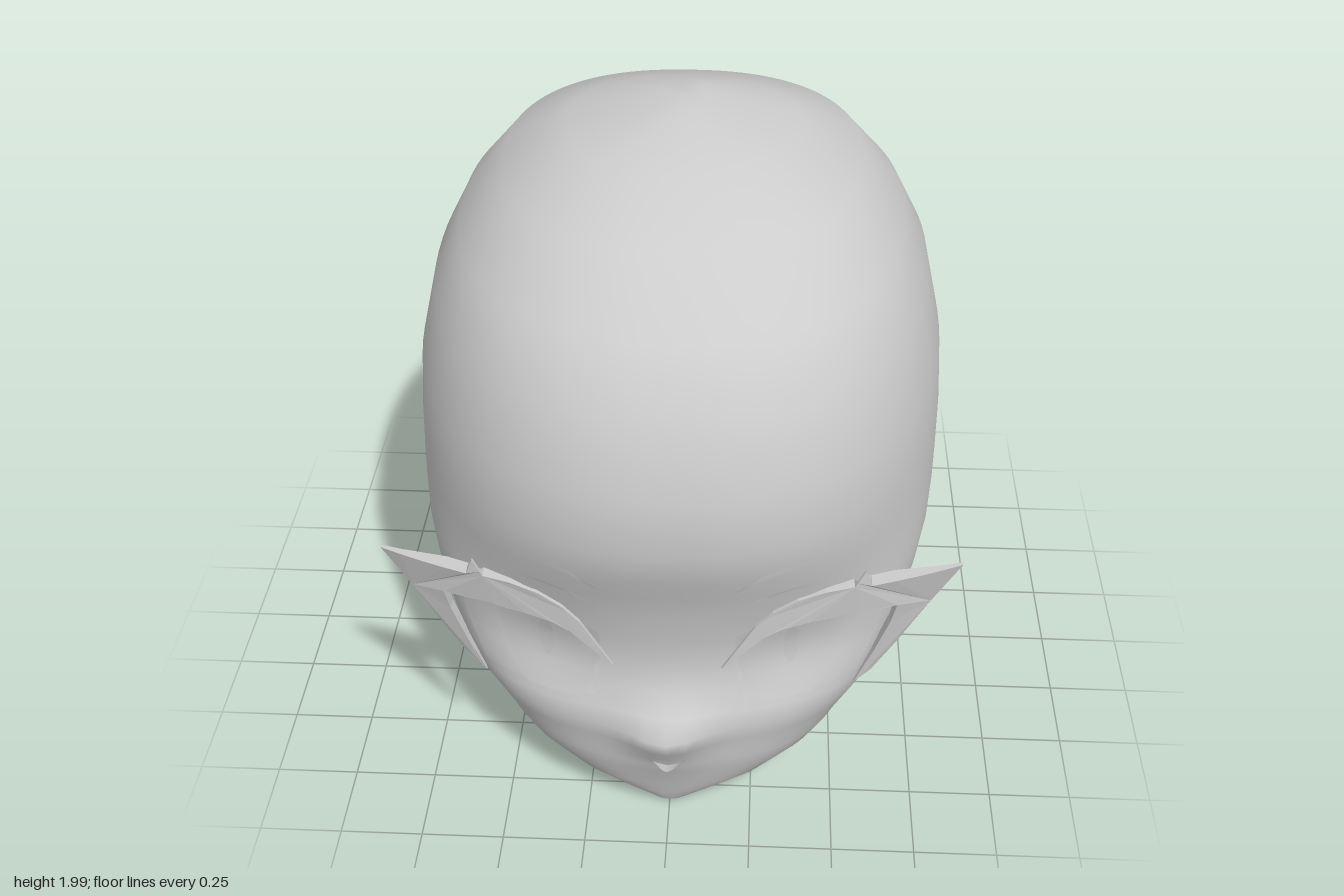
import * as THREE from 'three';

const skin = new THREE.MeshStandardMaterial({ color: 0xcccccc, side: THREE.DoubleSide });
skin.name = 'plain grey';

// Head levels: y, half width, front z, back z, z of the widest point, nose bump
const LEVELS = [
  [0.005, 0.02, 0.82, 0.70, 0.79, 0],
  [0.02, 0.07, 0.835, 0.56, 0.75, 0],
  [0.07, 0.21, 0.855, 0.27, 0.67, 0],
  [0.12, 0.34, 0.87, 0.0, 0.61, 0],
  [0.20, 0.48, 0.89, -0.22, 0.50, 0.01],
  [0.25, 0.53, 0.90, -0.34, 0.46, 0.025],
  [0.28, 0.55, 0.90, -0.40, 0.45, 0.03],
  [0.34, 0.59, 0.91, -0.48, 0.44, 0.065],
  [0.40, 0.63, 0.92, -0.56, 0.43, 0.078],
  [0.45, 0.655, 0.905, -0.62, 0.43, 0.035],
  [0.52, 0.685, 0.885, -0.72, 0.42, 0.01],
  [0.60, 0.715, 0.875, -0.78, 0.38, 0],
  [0.70, 0.75, 0.885, -0.85, 0.30, 0],
  [0.80, 0.78, 0.905, -0.905, 0.20, 0],
  [0.90, 0.795, 0.93, -0.945, 0.10, 0],
  [0.98, 0.80, 0.965, -0.965, 0.04, 0],
  [1.10, 0.805, 0.995, -0.995, -0.04, 0],
  [1.28, 0.795, 0.99, -0.99, -0.06, 0],
  [1.50, 0.745, 0.92, -0.925, -0.06, 0],
  [1.66, 0.665, 0.80, -0.82, -0.06, 0],
  [1.82, 0.535, 0.59, -0.64, -0.06, 0],
  [1.93, 0.34, 0.36, -0.34, -0.06, 0],
  [1.98, 0.07, 0.06, -0.20, -0.07, 0],
];
const POWER = 2.3;

// Raised nose and shallow eye sockets
function relief(x, y, bump) {
  const socket = Math.exp(-(((Math.abs(x) - 0.38) / 0.18) ** 2) - ((y - 0.66) / 0.13) ** 2);
  return bump * Math.exp(-((x / 0.12) ** 2)) - 0.03 * socket;
}

// Depth of the face surface at a point of the front
function faceZ(x, y) {
  let i = 0;
  while (i < LEVELS.length - 2 && LEVELS[i + 1][0] < y) i++;
  const a = LEVELS[i], b = LEVELS[i + 1], t = (y - a[0]) / (b[0] - a[0]);
  const [, w, f, , c, bump] = a.map((v, k) => v + (b[k] - v) * t);
  const s = Math.min(1, Math.abs(x) / w);
  return c + (f - c) * Math.pow(1 - s ** POWER, 1 / POWER) + relief(x, y, bump);
}

// Skull and face: rounded loops stacked upwards, closed at both ends
function headGeometry() {
  const N = 96, pos = [], index = [], e = 2 / POWER;
  for (const [y, w, f, b, c, bump] of LEVELS) {
    for (let i = 0; i < N; i++) {
      const a = (i / N) * Math.PI * 2, s = Math.sin(a), k = Math.cos(a);
      const x = w * Math.sign(s) * Math.abs(s) ** e;
      const reach = k > 0 ? f - c : b - c;
      pos.push(x, y, c + reach * Math.abs(k) ** e + (k > 0 ? relief(x, y, bump) : 0));
    }
  }
  const rows = LEVELS.length;
  for (let j = 0; j < rows - 1; j++) {
    for (let i = 0; i < N; i++) {
      const a = j * N + i, b = j * N + ((i + 1) % N);
      index.push(a, b, b + N, a, b + N, a + N);
    }
  }
  const bottom = pos.length / 3;
  pos.push(0, 0, 0.80, 0, 1.987, -0.05);
  for (let i = 0; i < N; i++) {
    const n = (i + 1) % N, top = (rows - 1) * N;
    index.push(bottom, n, i, bottom + 1, top + i, top + n);
  }
  const g = new THREE.BufferGeometry();
  g.setAttribute('position', new THREE.Float32BufferAttribute(pos, 3));
  g.setIndex(index);
  g.computeVertexNormals();
  return g;
}

function along(line, t) {
  const f = t * (line.length - 1), i = Math.min(line.length - 2, Math.floor(f)), k = f - i;
  return line[i].map((v, n) => v + (line[i + 1][n] - v) * k);
}

// Thin patch lying on the face; lines run towards +x, listed from low to high
function patch(name, lines, lift, nu = 12, nv = 8) {
  const g = new THREE.PlaneGeometry(1, 1, nu, nv), p = g.attributes.position;
  for (let i = 0; i < p.count; i++) {
    const u = p.getX(i) + 0.5, v = p.getY(i) + 0.5;
    const [x, y] = along(lines.map((l) => along(l, u)), v);
    p.setXYZ(i, x, y, faceZ(x, y) + lift(u, v));
  }
  g.computeVertexNormals();
  return named(name, g);
}

function named(name, geometry) {
  const mesh = new THREE.Mesh(geometry, skin);
  mesh.name = name;
  return mesh;
}

// Winged upper lash with a sliver running down the outer corner
function lashGeometry() {
  const outline = [
    [0.157, 0.64], [0.25, 0.79], [0.30, 0.84], [0.37, 0.88], [0.45, 0.90], [0.53, 0.905], [0.56, 0.955],
    [0.58, 0.90], [0.845, 0.905], [0.68, 0.63], [0.60, 0.52], [0.55, 0.49], [0.60, 0.60],
    [0.645, 0.72], [0.66, 0.79], [0.53, 0.80], [0.41, 0.79], [0.33, 0.775], [0.28, 0.75],
  ];
  const points = [];
  outline.forEach((a, i) => {
    const b = outline[(i + 1) % outline.length];
    for (let k = 0; k < 4; k++) {
      points.push(new THREE.Vector2(a[0] + ((b[0] - a[0]) * k) / 4, a[1] + ((b[1] - a[1]) * k) / 4));
    }
  });
  const g = new THREE.ExtrudeGeometry(new THREE.Shape(points), { depth: 1, bevelEnabled: false });
  const p = g.attributes.position;
  for (let i = 0; i < p.count; i++) {
    const x = p.getX(i), y = p.getY(i);
    const front = 0.93 - (0.27 + 0.5 * Math.max(0, 0.9 - y)) * x * x;
    // The back edge sinks towards the face and thins out at the tips
    const spread = Math.max(0, 1 - Math.abs(x - 0.62) / 0.22);
    const thick = y > 0.91 ? 0.01 : 0.012 + 0.045 * spread * Math.min(1, Math.max(0, (y - 0.5) / 0.3));
    p.setZ(i, front - (p.getZ(i) > 0.5 ? 0 : thick));
  }
  g.computeVertexNormals();
  return g;
}

function eye() {
  const g = new THREE.Group();
  g.add(
    named('upperLash', lashGeometry()),
    patch('eyeWhite', [
      [[0.21, 0.495], [0.56, 0.49]],
      [[0.20, 0.62], [0.62, 0.62]],
      [[0.20, 0.73], [0.33, 0.80], [0.50, 0.82], [0.65, 0.80]],
    ], () => 0.010, 16, 10),
    patch('iris', [
      [[0.25, 0.49], [0.42, 0.49]],
      [[0.22, 0.57], [0.48, 0.57]],
      [[0.20, 0.66], [0.515, 0.68]],
      [[0.195, 0.72], [0.33, 0.80], [0.53, 0.81]],
    ], () => 0.022),
    patch('pupil', [
      [[0.35, 0.605], [0.365, 0.605]],
      [[0.338, 0.64], [0.378, 0.64]],
      [[0.336, 0.72], [0.380, 0.72]],
      [[0.35, 0.76], [0.366, 0.76]],
    ], () => 0.032, 4, 12),
    patch('lidCrease', [
      [[0.22, 0.865], [0.28, 0.895], [0.35, 0.912], [0.43, 0.918]],
      [[0.22, 0.866], [0.28, 0.905], [0.35, 0.921], [0.43, 0.919]],
    ], () => 0.008, 12, 1),
    patch('eyebrow', [
      [[0.19, 0.945], [0.27, 0.995], [0.36, 1.022], [0.47, 1.03], [0.585, 1.015]],
      [[0.19, 0.95], [0.27, 1.015], [0.36, 1.045], [0.47, 1.045], [0.585, 1.022]],
    ], () => 0.012, 16, 2),
  );
  return g;
}

export function createModel() {
  const model = new THREE.Group();
  model.name = 'head';
  model.add(named('skullAndFace', headGeometry()));

  // Small upper lip whose underside juts out in the middle
  model.add(patch('upperLip', [
    [[-0.06, 0.275], [0, 0.258], [0.06, 0.275]],
    [[-0.06, 0.281], [0, 0.272], [0.06, 0.281]],
  ], (u, v) => 0.003 + 0.04 * Math.sin(Math.PI * u) ** 2 * v, 12, 3));

  // Eyes, mirrored
  for (const side of [1, -1]) {
    const e = eye();
    e.name = side > 0 ? 'leftEye' : 'rightEye';
    e.scale.x = side;
    model.add(e);
  }
  return model;
}
